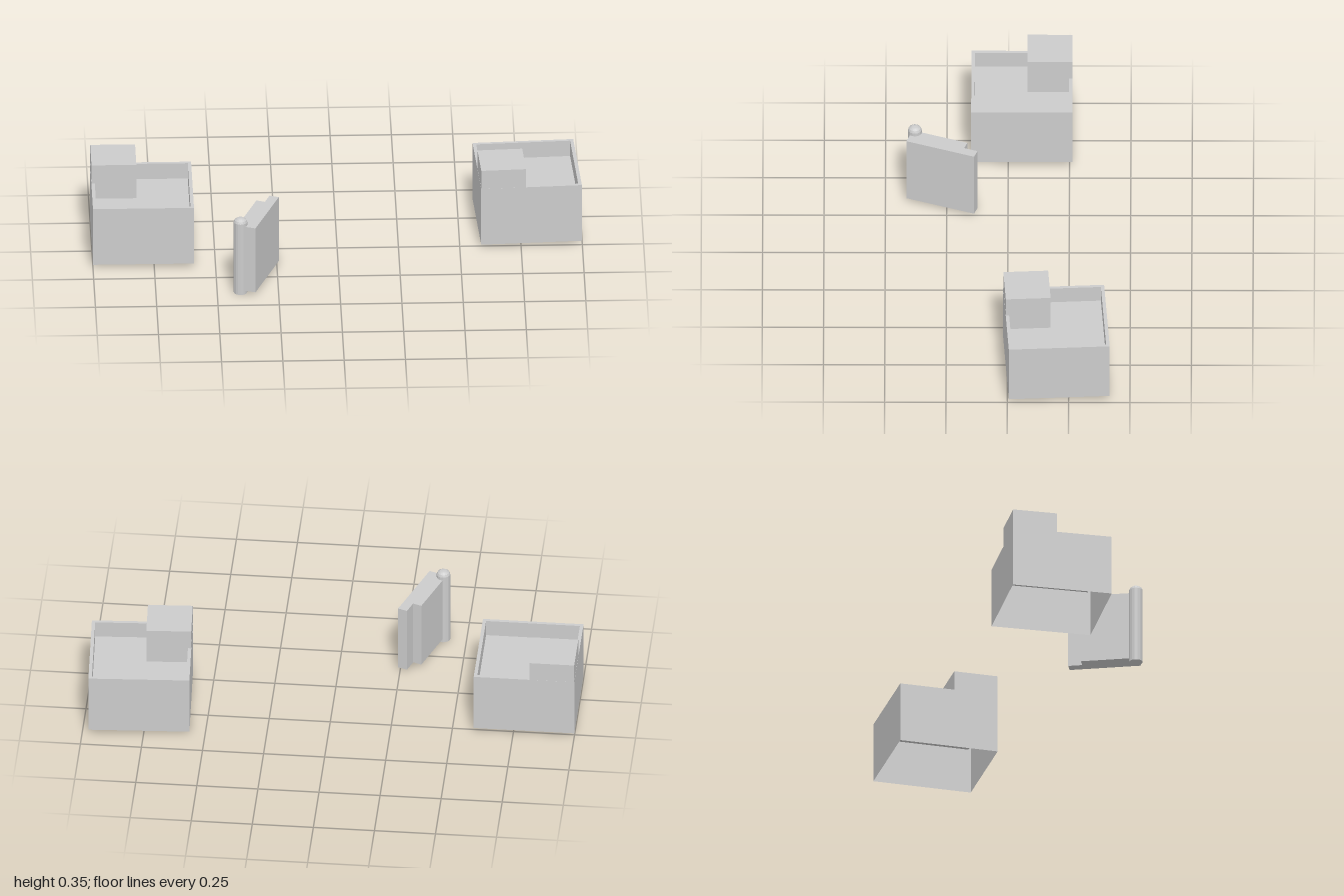
import * as THREE from 'three';

const material = new THREE.MeshStandardMaterial({ color: 0xcccccc, flatShading: true, side: THREE.DoubleSide });

function part(name, geometry, parent) {
  const mesh = new THREE.Mesh(geometry, material);
  mesh.name = name;
  parent.add(mesh);
  return mesh;
}

const profile = (points) => points.map(([x, y]) => new THREE.Vector2(x, y));

// Square tray, open underneath, with a block set into one corner
function createBox(name, x, z, turn) {
  const box = new THREE.Group();
  box.name = name;
  const half = 0.206;
  const outer = half * Math.SQRT2;
  const inner = (half - 0.014) * Math.SQRT2;
  const shell = profile([[outer, 0.015], [outer, 0.27], [inner, 0.27], [inner, 0.2], [0, 0.2]]);
  part('tray', new THREE.LatheGeometry(shell, 4, Math.PI / 4), box);

  const size = 0.183;
  const block = part('cornerBlock', new THREE.BoxGeometry(size, 0.223, size), box);
  const offset = -half + size / 2 + 0.0005;
  block.position.set(offset, 0.2415, offset);

  box.position.set(x, 0, z);
  box.rotation.y = turn;
  return box;
}

// Stepped panel standing on a round hinge pin
function createDoor() {
  const door = new THREE.Group();
  door.name = 'door';
  const steps = [[0, 0], [0.295, 0], [0.295, 0.04], [0.237, 0.04], [0.237, 0.077], [0, 0.077]];
  const outline = new THREE.Shape(steps.map(([along, across]) => new THREE.Vector2(
    -0.345 + 0.35 * along - 0.937 * across,
    -(0.415 - 0.937 * along - 0.35 * across),
  )));
  const panel = new THREE.ExtrudeGeometry(outline, { depth: 0.293, bevelEnabled: false });
  panel.rotateX(-Math.PI / 2);
  part('doorPanel', panel, door).position.y = 0.015;

  const pin = profile([[0, 0], [0.028, 0], [0.028, 0.322], [0.024, 0.331], [0.014, 0.338], [0, 0.34]]);
  part('hingePin', new THREE.LatheGeometry(pin, 16), door).position.set(-0.405, 0, 0.38);
  return door;
}

export function createModel() {
  const model = new THREE.Group();
  model.name = 'boxesAndDoor';
  model.add(
    createBox('rightBox', -0.794, -0.055, 0),
    createBox('leftBox', 0.781, -0.2, THREE.MathUtils.degToRad(93.3)),
    createDoor(),
  );
  return model;
}
